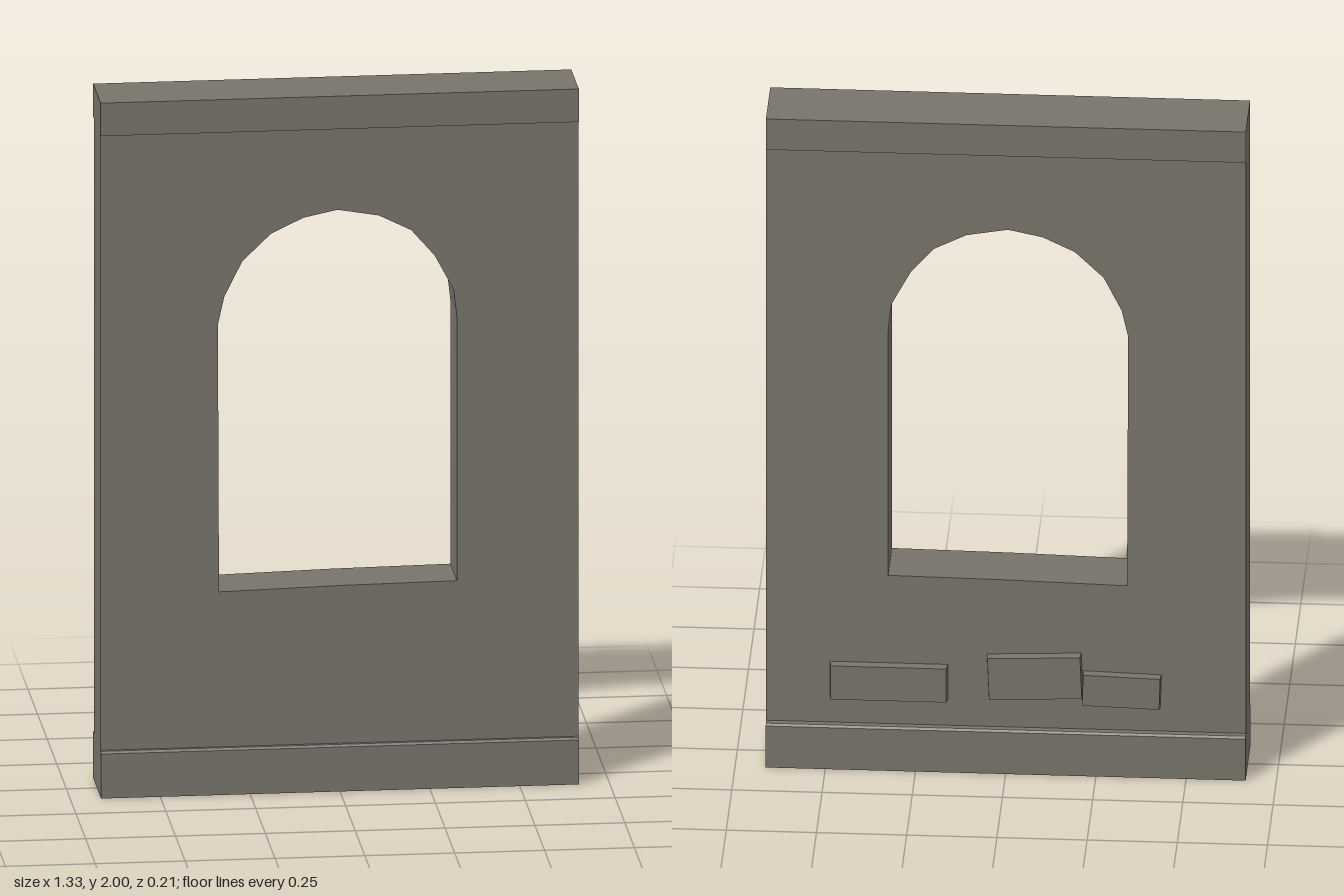
import * as THREE from 'three';

export function createModel() {
  const group = new THREE.Group();
  const stone = new THREE.MeshStandardMaterial({ color: 0x77736a, flatShading: true });
  const halfWidth = 0.665;

  function add(name, geometry) {
    const mesh = new THREE.Mesh(geometry, stone);
    mesh.name = name;
    group.add(mesh);
    return mesh;
  }

  // Extrude a [z, y] profile along the full width of the wall
  function course(name, profile) {
    const shape = new THREE.Shape(profile.map(([z, y]) => new THREE.Vector2(-z, y)));
    const geometry = new THREE.ExtrudeGeometry(shape, { depth: halfWidth * 2, bevelEnabled: false });
    geometry.translate(0, 0, -halfWidth).rotateY(Math.PI / 2);
    add(name, geometry);
  }

  // Wall slab with a worn arched opening
  const wall = new THREE.Shape([
    [-halfWidth, 0.1], [halfWidth, 0.1], [halfWidth, 1.93], [-halfWidth, 1.93],
  ].map(([x, y]) => new THREE.Vector2(x, y)));
  wall.holes.push(new THREE.Path([
    [-0.335, 0.58], [-0.338, 1.35], [-0.32, 1.43], [-0.27, 1.53], [-0.19, 1.607],
    [-0.1, 1.65], [-0.005, 1.67], [0.11, 1.65], [0.2, 1.605], [0.265, 1.53],
    [0.318, 1.43], [0.327, 1.35], [0.327, 0.592], [0, 0.588],
  ].map(([x, y]) => new THREE.Vector2(x, y))));
  const wallGeometry = new THREE.ExtrudeGeometry(wall, { depth: 0.17, bevelEnabled: false });
  wallGeometry.translate(0, 0, -0.081);
  add('wall', wallGeometry);

  // Projecting base and top courses
  course('baseCourse', [[0.106, 0], [0.106, 0.128], [0.1, 0.134], [-0.099, 0.134], [-0.105, 0.128], [-0.105, 0]]);
  course('topCourse', [[0.099, 1.905], [0.099, 2], [-0.097, 2], [-0.097, 1.905]]);

  // Raised bricks low on the back: centre x, centre y, width, height, tilt
  [
    [0.325, 0.268, 0.33, 0.11, 0],
    [-0.08, 0.297, 0.265, 0.135, -0.04],
    [-0.32, 0.262, 0.22, 0.1, 0.03],
  ].forEach(([x, y, width, height, tilt], i) => {
    const geometry = new THREE.BoxGeometry(width, height, 0.04);
    const position = geometry.attributes.position;
    // Narrow the outer face slightly
    for (let k = 0; k < position.count; k++) {
      if (position.getZ(k) < 0) {
        position.setX(k, position.getX(k) * 0.97);
        position.setY(k, position.getY(k) * 0.94);
      }
    }
    geometry.computeVertexNormals();
    const brick = add('raisedBrick' + (i + 1), geometry);
    brick.position.set(x, y, -0.086);
    brick.rotation.z = tilt;
  });

  return group;
}
